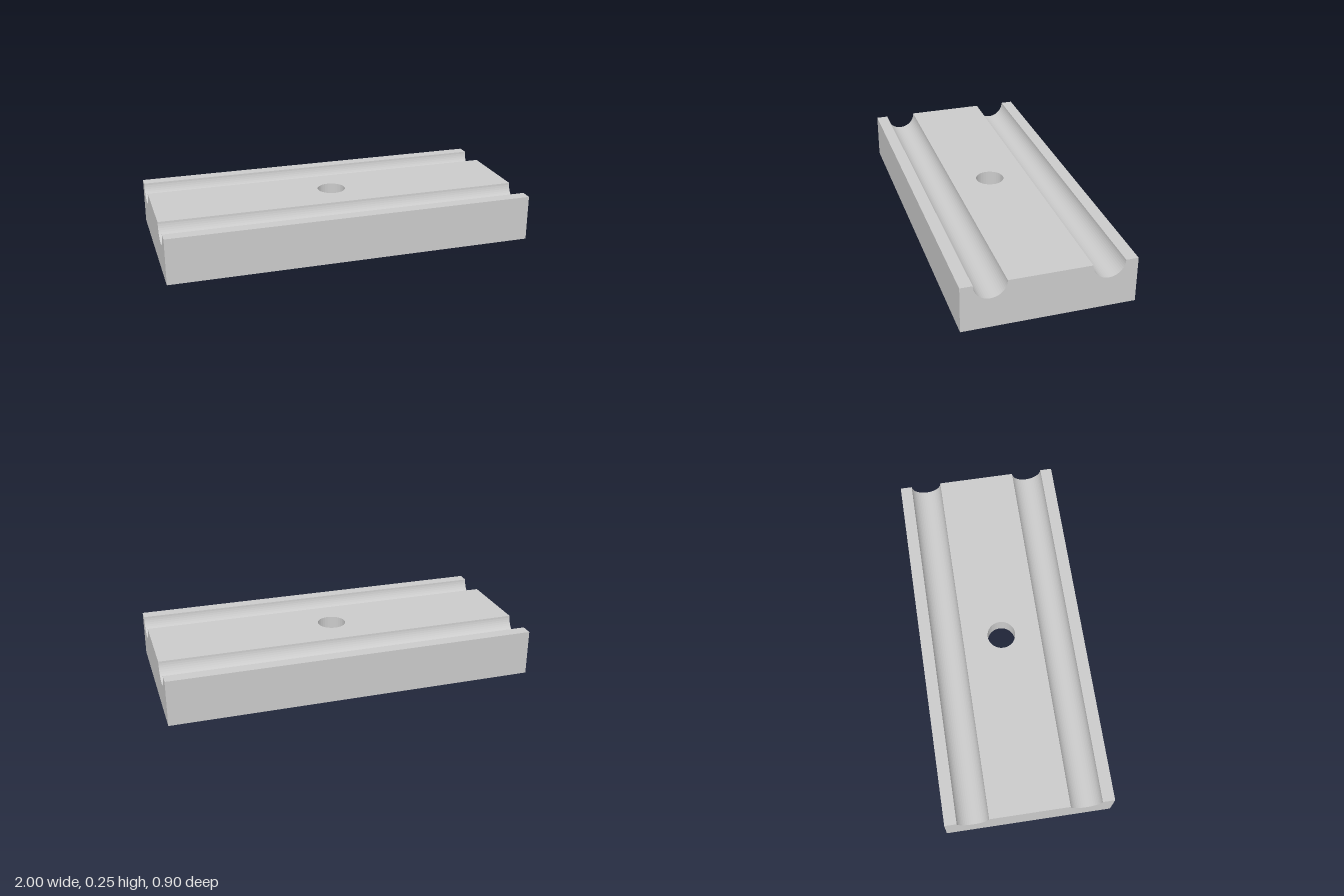
import * as THREE from 'three';

const LENGTH = 2, WIDTH = 0.9, HEIGHT = 0.25;
const GROOVE_Z = 0.3, GROOVE_R = 0.085, GROOVE_STEPS = 24;
const HOLE_R = 0.077, BORE_R = 0.223, BORE_DEPTH = 0.15, ROUND_STEPS = 32;

export function createModel() {
  const model = new THREE.Group();
  model.name = 'groovedBlock';
  const material = new THREE.MeshStandardMaterial({ color: 0xcccccc, flatShading: true });
  const add = (name, geometry, parent = model) => {
    const mesh = new THREE.Mesh(geometry, material);
    mesh.name = name;
    parent.add(mesh);
  };

  // Half of the cross-section as (z, y): outer wall, lip, round groove
  const half = [[WIDTH / 2, 0], [WIDTH / 2, HEIGHT]];
  for (let i = 0; i <= GROOVE_STEPS; i++) {
    const a = -Math.PI * i / GROOVE_STEPS;
    half.push([GROOVE_Z + GROOVE_R * Math.cos(a), HEIGHT + GROOVE_R * Math.sin(a)]);
  }

  // Sweep of the half section along x
  const corners = [];
  for (let i = 0; i < half.length - 1; i++) {
    const [z0, y0] = half[i], [z1, y1] = half[i + 1], x = LENGTH / 2;
    corners.push(-x, y0, z0, x, y0, z0, x, y1, z1, -x, y0, z0, x, y1, z1, -x, y1, z1);
  }
  const sweep = new THREE.BufferGeometry();
  sweep.setAttribute('position', new THREE.Float32BufferAttribute(corners, 3));
  sweep.computeVertexNormals();

  // End face with both groove cut-outs
  const outline = [...half, ...half.map(([z, y]) => [-z, y]).reverse()];
  const end = new THREE.ShapeGeometry(new THREE.Shape(outline.map(([z, y]) => new THREE.Vector2(z, y))));
  end.rotateY(Math.PI / 2).translate(LENGTH / 2, 0, 0);

  // The block is the same after half a turn
  for (const turn of [0, 1]) {
    const side = new THREE.Group();
    side.name = turn ? 'backAndRightSide' : 'frontAndLeftSide';
    side.rotation.y = turn * Math.PI;
    add('grooveAndWall', sweep, side);
    add('endFace', end, side);
    model.add(side);
  }

  // Flat panels pierced by a round opening
  const panel = (width, radius, tilt, y) => {
    const x = LENGTH / 2, z = width / 2;
    const shape = new THREE.Shape([[-x, -z], [x, -z], [x, z], [-x, z]].map(p => new THREE.Vector2(...p)));
    shape.holes.push(new THREE.Path().absarc(0, 0, radius, 0, Math.PI * 2, true));
    return new THREE.ShapeGeometry(shape, ROUND_STEPS / 2).rotateX(tilt).translate(0, y, 0);
  };
  add('topPanel', panel(2 * (GROOVE_Z - GROOVE_R), HOLE_R, -Math.PI / 2, HEIGHT));
  add('bottomPanel', panel(WIDTH, BORE_R, Math.PI / 2, 0));

  // Through hole opening into the wide bore underneath
  const bore = [[HOLE_R, HEIGHT], [HOLE_R, BORE_DEPTH], [BORE_R, BORE_DEPTH], [BORE_R, 0]];
  const lathe = new THREE.LatheGeometry(bore.map(p => new THREE.Vector2(...p)), ROUND_STEPS).toNonIndexed();
  lathe.computeVertexNormals();
  add('counterboredHole', lathe);

  return model;
}
